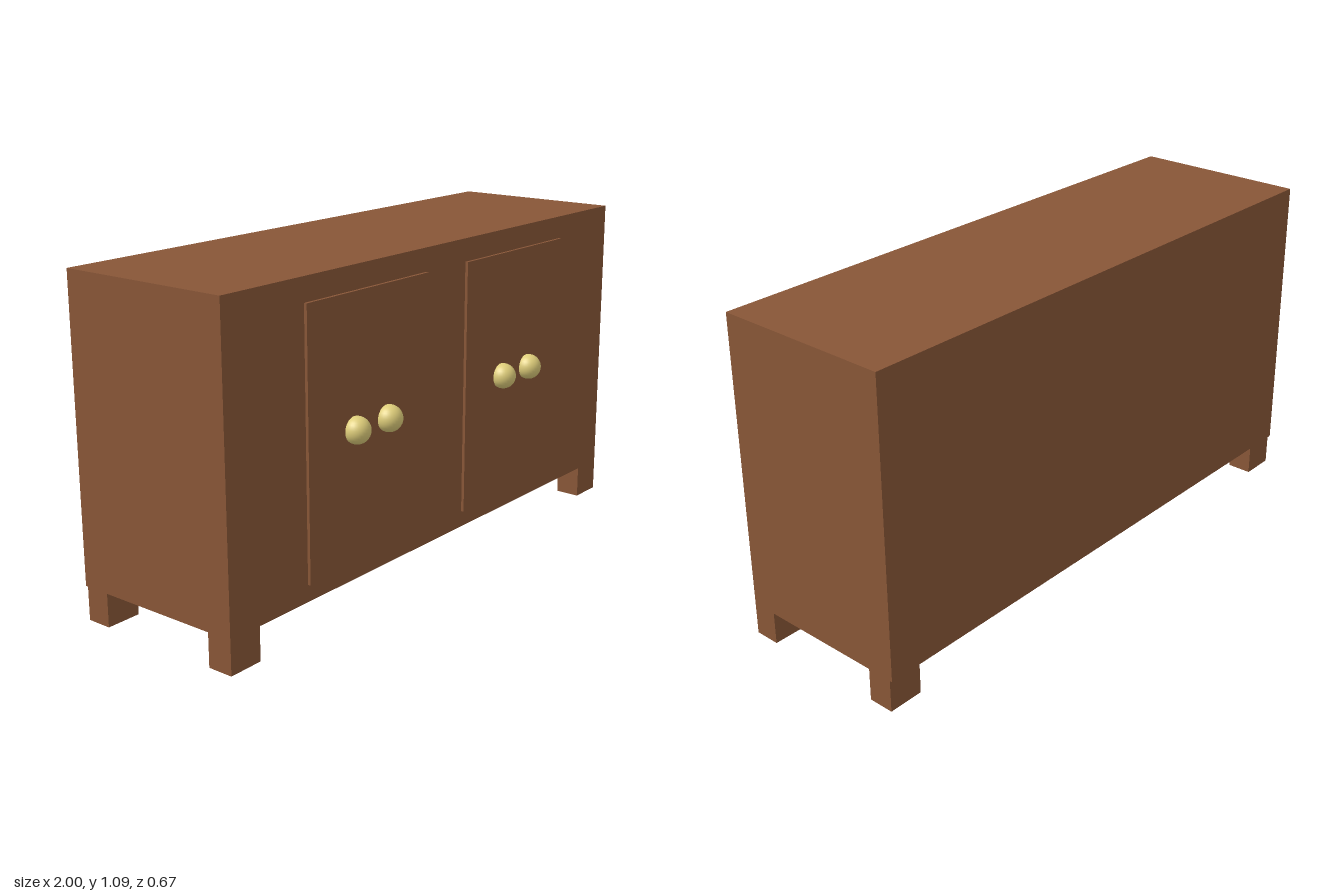
import * as THREE from 'three';

export function createModel() {
  const wood = new THREE.MeshStandardMaterial({ color: 0x885637 });
  wood.name = 'brown wood';
  const brass = new THREE.MeshStandardMaterial({ color: 0xdecd7a });
  brass.name = 'pale brass';

  const model = new THREE.Group();
  model.name = 'sideboard';

  // Box given by its minimum and maximum corners
  function box(name, [x0, y0, z0], [x1, y1, z1]) {
    const mesh = new THREE.Mesh(new THREE.BoxGeometry(x1 - x0, y1 - y0, z1 - z0), wood);
    mesh.position.set((x0 + x1) / 2, (y0 + y1) / 2, (z0 + z1) / 2);
    mesh.name = name;
    model.add(mesh);
  }

  // Two cabinet halves meeting in the middle
  box('rightCabinet', [-1, 0.11, -0.335], [0, 1.09, 0.272]);
  box('leftCabinet', [0, 0.11, -0.335], [1, 1.09, 0.272]);

  // Raised door panels
  box('rightDoor', [-0.67, 0.165, 0.262], [-0.1, 1.014, 0.282]);
  box('leftDoor', [0.112, 0.165, 0.262], [0.68, 1.014, 0.282]);

  // Four short block legs
  for (const [side, x0, x1] of [['Right', -1, -0.88], ['Left', 0.88, 1]]) {
    box('front' + side + 'Leg', [x0, 0, 0.185], [x1, 0.11, 0.272]);
    box('back' + side + 'Leg', [x0, 0, -0.326], [x1, 0.11, -0.24]);
  }

  // Round knobs, a pair on each door
  const knobGeometry = new THREE.SphereGeometry(0.043, 32, 16);
  for (const x of [-0.465, -0.31, 0.315, 0.472]) {
    const knob = new THREE.Mesh(knobGeometry, brass);
    knob.position.set(x, 0.597, 0.294);
    knob.name = 'knob';
    model.add(knob);
  }

  return model;
}
